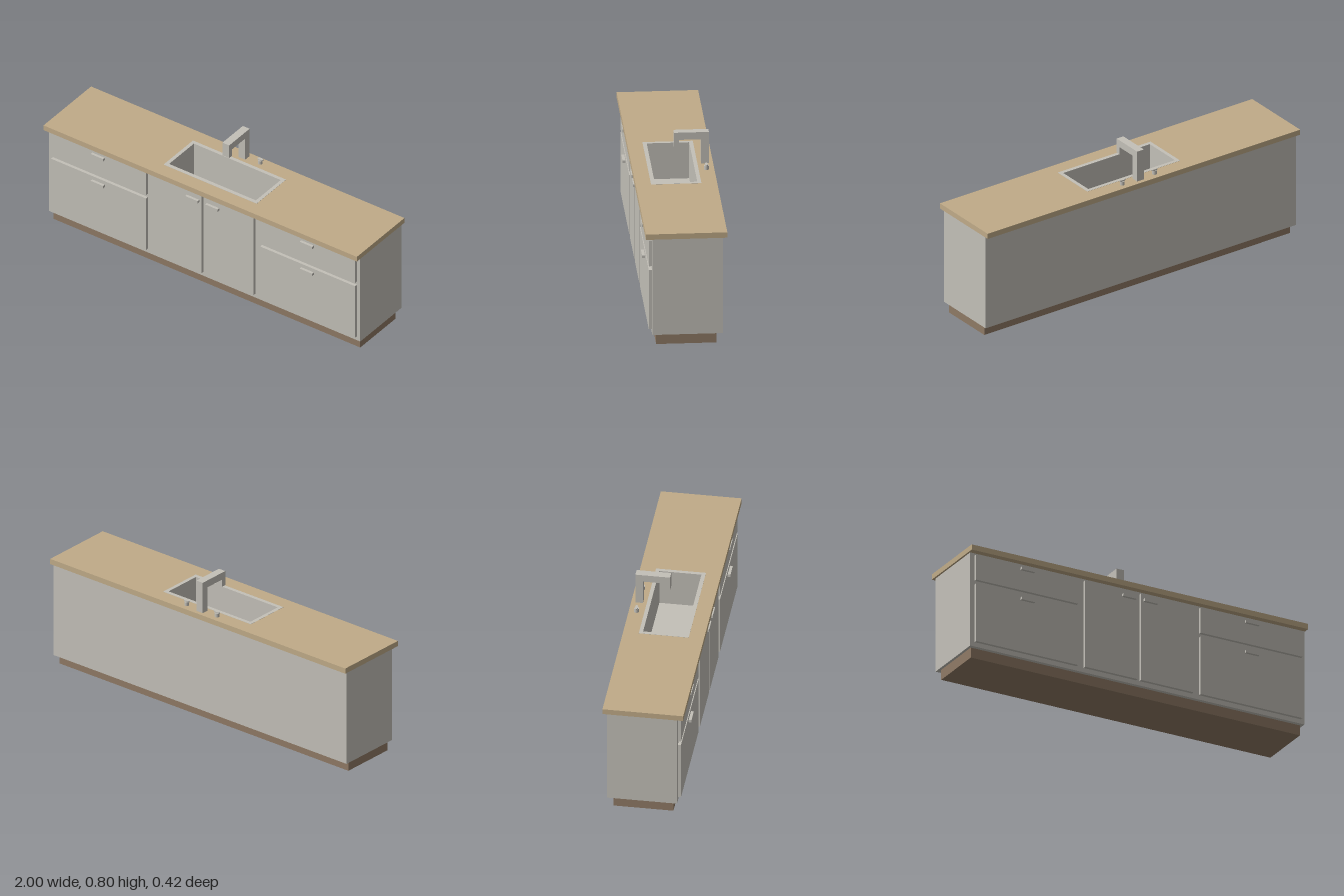
import * as THREE from 'three';

export function createModel() {
  const model = new THREE.Group();
  model.name = 'kitchenSinkCabinet';

  const grey = new THREE.MeshStandardMaterial({ name: 'warm grey', color: 0xc3c0b8 });
  const wood = new THREE.MeshStandardMaterial({ name: 'light wood', color: 0xc0ab88 });
  const brown = new THREE.MeshStandardMaterial({ name: 'plinth brown', color: 0x8f7a65 });

  function add(name, geometry, material, parent = model) {
    const mesh = new THREE.Mesh(geometry, material);
    mesh.name = name;
    parent.add(mesh);
    return mesh;
  }

  // Box given by its limits on each axis
  function box(name, [x0, x1], [y0, y1], [z0, z1], material, parent) {
    const geometry = new THREE.BoxGeometry(x1 - x0, y1 - y0, z1 - z0);
    geometry.translate((x0 + x1) / 2, (y0 + y1) / 2, (z0 + z1) / 2);
    return add(name, geometry, material, parent);
  }

  // Upright slab with a rectangular opening through it
  function frame(name, outer, inner, [y0, y1], material, parent) {
    const corners = ([x0, x1, z0, z1]) => [[x0, -z1], [x1, -z1], [x1, -z0], [x0, -z0]]
      .map(([x, y]) => new THREE.Vector2(x, y));
    const shape = new THREE.Shape(corners(outer));
    shape.holes.push(new THREE.Path(corners(inner)));
    const geometry = new THREE.ExtrudeGeometry(shape, { depth: y1 - y0, bevelEnabled: false });
    geometry.rotateX(-Math.PI / 2).translate(0, y0, 0);
    return add(name, geometry, material, parent);
  }

  const mid = 0.006; // centre line of the sink and tap
  const sinkOuter = [mid - 0.297, mid + 0.297, -0.13, 0.132];
  const sinkInner = [mid - 0.277, mid + 0.277, -0.11, 0.111];

  // Plinth, carcass and worktop
  box('plinth', [-0.975, 0.982], [0, 0.057], [-0.157, 0.157], brown);
  frame('cabinetBody', [-0.99, 0.997, -0.19, 0.178], sinkOuter, [0.057, 0.59], grey);
  frame('worktop', [-1, 1, -0.212, 0.212], sinkOuter, [0.59, 0.62], wood);

  // Sink bowl: rim and walls in one piece, plus the floor
  const sink = new THREE.Group();
  sink.name = 'sink';
  model.add(sink);
  frame('sinkWalls', sinkOuter, sinkInner, [0.42, 0.621], grey, sink);
  box('sinkFloor', [sinkOuter[0], sinkOuter[1]], [0.41, 0.42], [sinkOuter[2], sinkOuter[3]], grey, sink);

  // Drawer and door fronts, each with a bar handle
  function front(name, xs, ys, handleX, handleTop) {
    const group = new THREE.Group();
    group.name = name;
    model.add(group);
    box(name + 'Panel', xs, ys, [0.178, 0.195], grey, group);
    box(name + 'Handle', [handleX - 0.04, handleX + 0.04], [handleTop - 0.015, handleTop],
      [0.195, 0.21], grey, group);
  }
  for (const [side, s] of [['right', -1], ['left', 1]]) {
    const span = (a, b) => [mid + s * a, mid + s * b].sort((p, q) => p - q);
    front(side + 'UpperDrawer', span(0.364, 0.97), [0.433, 0.577], mid + s * 0.667, 0.562);
    front(side + 'LowerDrawer', span(0.364, 0.97), [0.082, 0.412], mid + s * 0.667, 0.39);
    front(side + 'Door', span(0.01, 0.322), [0.082, 0.577], mid + s * 0.064, 0.547);
  }

  // Square-section tap, drawn as a side profile (forward, up) and extruded across
  const profile = [[-0.19, 0.62], [-0.15, 0.62], [-0.15, 0.755], [-0.034, 0.755],
    [-0.034, 0.714], [-0.008, 0.714], [-0.008, 0.795], [-0.19, 0.795]];
  const tapShape = new THREE.Shape(profile.map(([z, y]) => new THREE.Vector2(z, y)));
  const tapGeometry = new THREE.ExtrudeGeometry(tapShape, { depth: 0.043, bevelEnabled: false });
  tapGeometry.rotateY(-Math.PI / 2).translate(mid + 0.0215, 0, 0);
  add('tap', tapGeometry, grey);

  // Tap knobs: round stem with a flattened oval cap
  for (const [side, s] of [['right', -1], ['left', 1]]) {
    const knob = new THREE.Group();
    knob.name = side + 'Knob';
    knob.position.set(mid + s * 0.103, 0.62, -0.171);
    model.add(knob);
    add('knobStem', new THREE.CylinderGeometry(0.0128, 0.0128, 0.021, 16).translate(0, 0.0105, 0), grey, knob);
    add('knobCap', new THREE.CylinderGeometry(0.0185, 0.0185, 0.008, 16).scale(1, 1, 0.42)
      .translate(0, 0.025, 0), grey, knob);
  }

  return model;
}
